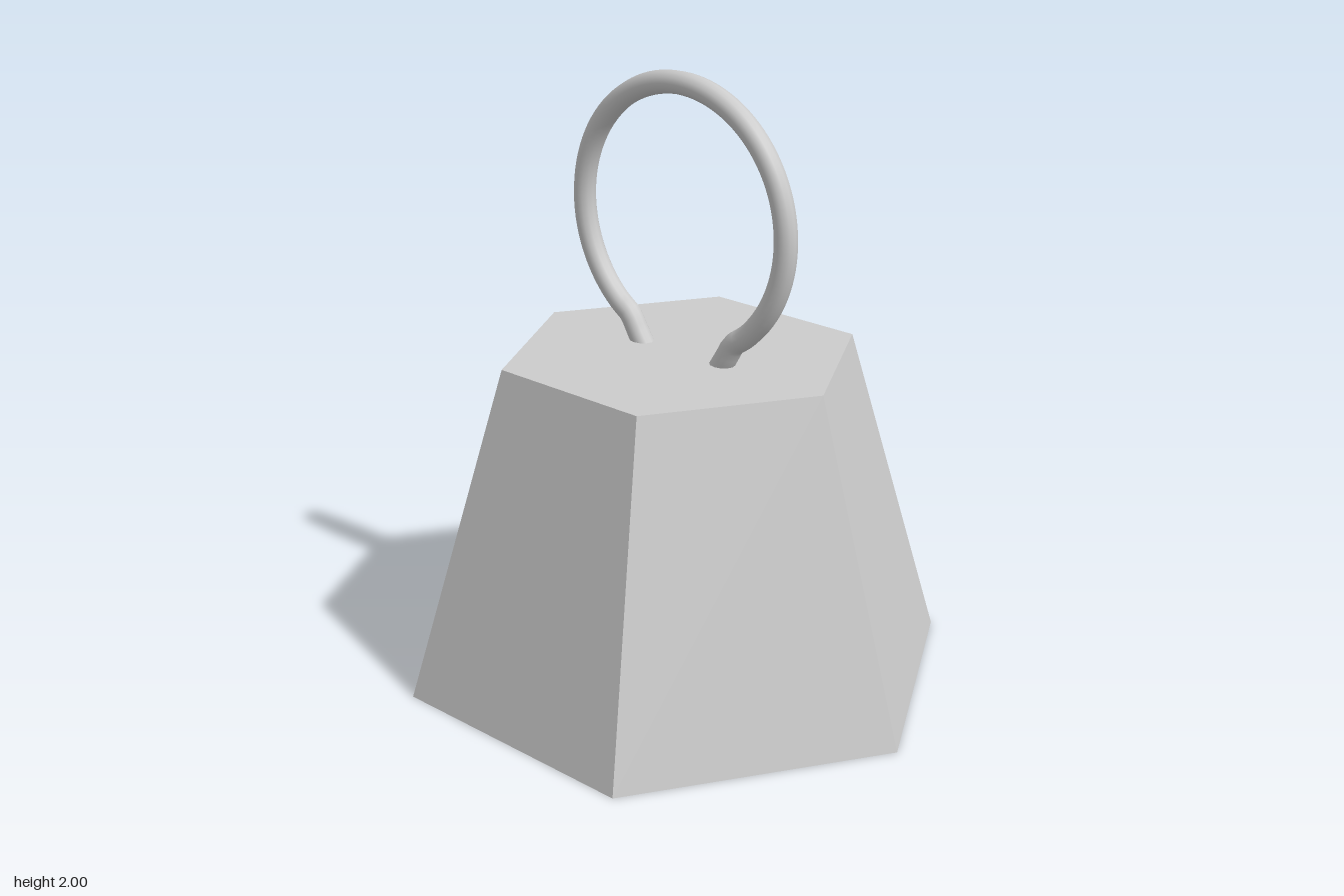
import * as THREE from 'three';

export function createModel() {
  const group = new THREE.Group();
  group.name = 'ringWeight';

  // Tapered hexagonal block, corners pointing to front and back
  const height = 1.095;
  const block = new THREE.Mesh(
    new THREE.CylinderGeometry(0.585, 0.912, height, 6),
    new THREE.MeshStandardMaterial({ color: 0xcccccc, flatShading: true })
  );
  block.name = 'weightBlock';
  block.position.y = height / 2;
  group.add(block);

  // Ring handle: open circle whose ends bend inward into the block
  const radius = 0.427, centreY = 1.536, gap = 0.555, steps = 44;
  const points = [new THREE.Vector3(0, 1.07, 0.159), new THREE.Vector3(0, 1.12, 0.191)];
  for (let i = 0; i <= steps; i++) {
    const a = gap + (i / steps) * (2 * Math.PI - 2 * gap);
    points.push(new THREE.Vector3(0, centreY - radius * Math.cos(a), radius * Math.sin(a)));
  }
  points.push(new THREE.Vector3(0, 1.12, -0.191), new THREE.Vector3(0, 1.07, -0.159));
  const ring = new THREE.Mesh(
    new THREE.TubeGeometry(new THREE.CatmullRomCurve3(points), 96, 0.037, 12),
    new THREE.MeshStandardMaterial({ color: 0xcccccc, side: THREE.DoubleSide })
  );
  ring.name = 'ringHandle';
  group.add(ring);

  return group;
}
